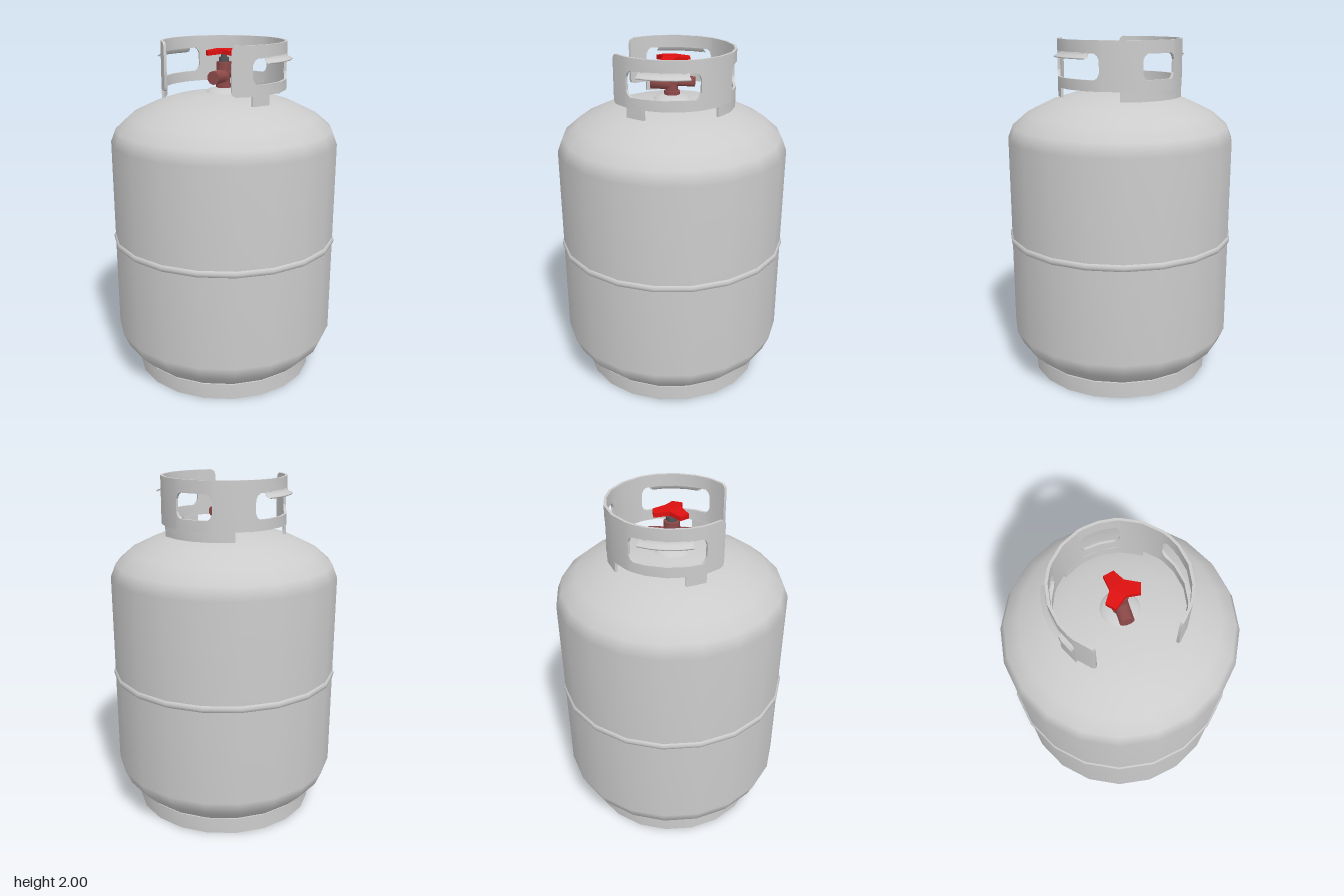
import * as THREE from 'three';
import { toCreasedNormals, mergeGeometries } from 'three/addons/utils/BufferGeometryUtils.js';

const SIDES = 20;
const grey = new THREE.MeshStandardMaterial({ color: 0xcccccc });
const greyThin = new THREE.MeshStandardMaterial({ color: 0xcccccc, side: THREE.DoubleSide });
const brass = new THREE.MeshStandardMaterial({ color: 0x8f4a4a });
const dark = new THREE.MeshStandardMaterial({ color: 0x555555 });
const red = new THREE.MeshStandardMaterial({ color: 0xdd1010 });

function add(parent, name, geometry, material) {
  const mesh = new THREE.Mesh(geometry, material);
  mesh.name = name;
  parent.add(mesh);
  return mesh;
}

function lathe(points, sides = SIDES, start = 0, length = Math.PI * 2) {
  return new THREE.LatheGeometry(points.map(p => new THREE.Vector2(...p)), sides, start, length);
}

// Curved plate: stations are [angle from the back, low y, high y]
function curvedPlate(stations, rIn = 0.345, rOut = 0.36) {
  const full = [];
  const step = Math.PI * 2 / SIDES;
  stations.forEach((s, i) => {
    full.push(s);
    const n = stations[i + 1];
    if (!n) return;
    for (let k = Math.floor(s[0] / step) + 1; k * step < n[0] - 0.001; k++) {
      const t = (k * step - s[0]) / (n[0] - s[0]);
      if (t > 0.001) full.push(s.map((v, j) => v + (n[j] - v) * t));
    }
  });
  const sections = full.map(([a, lo, hi]) =>
    [[rIn, lo], [rOut, lo], [rOut, hi], [rIn, hi]].map(([r, y]) => [r * Math.sin(a), y, -r * Math.cos(a)]));
  const pos = [];
  const quad = (a, b, c, d) => pos.push(...a, ...b, ...c, ...a, ...c, ...d);
  for (let i = 0; i < sections.length - 1; i++) {
    const s = sections[i], n = sections[i + 1];
    for (let k = 0; k < 4; k++) quad(s[k], s[(k + 1) % 4], n[(k + 1) % 4], n[k]);
  }
  quad(...[...sections[0]].reverse());
  quad(...sections[sections.length - 1]);
  const g = new THREE.BufferGeometry();
  g.setAttribute('position', new THREE.Float32BufferAttribute(pos, 3));
  return toCreasedNormals(g, 0.6);
}

function createCollar() {
  const LOW = 1.73, TOP = 2, SILL = 1.79, HEAD = 1.93;
  const backHalf = 0.31, sideStart = 0.98, sideEnd = 2.17, end = 2.5;
  const plates = [];

  // Bands above and below a window with rounded corners
  const windowBands = (a, b) => {
    const corner = [[0, 0.035], [0.03, 0.012], [0.08, 0]];
    const steps = [...corner.map(([d, h]) => [a + d, h]), ...[...corner].reverse().map(([d, h]) => [b - d, h])];
    plates.push(steps.map(([t, h]) => [t, LOW, SILL + h]));
    plates.push(steps.map(([t, h]) => [t, HEAD - h, TOP]));
  };
  const flip = stations => stations.map(([a, lo, hi]) => [-a, lo, hi]).reverse();
  const both = stations => plates.push(stations, flip(stations));

  windowBands(-backHalf, backHalf);
  windowBands(sideStart, sideEnd);
  windowBands(-sideEnd, -sideStart);
  both([[backHalf, LOW, TOP], [sideStart, LOW, TOP]]);
  both([[sideEnd, LOW, TOP], [end - 0.07, LOW, TOP], [end - 0.02, LOW + 0.008, TOP - 0.01], [end, LOW + 0.025, TOP - 0.03]]);
  // Feet
  plates.push([[-0.66, 1.675, LOW], [0.66, 1.675, LOW]]);
  both([[1.85, 1.675, LOW], [sideEnd, 1.675, LOW]]);
  return mergeGeometries(plates.map(p => curvedPlate(p)));
}

function createValve() {
  const valve = new THREE.Group();
  valve.name = 'valve';
  // Upright fittings: name, bottom, top, radius, sides, material
  [
    ['valveBase', 1.71, 1.755, 0.045, 12, brass],
    ['valveBody', 1.755, 1.845, 0.034, 12, brass],
    ['bonnetNut', 1.835, 1.88, 0.045, 8, brass],
    ['packingNut', 1.88, 1.905, 0.03, 8, dark],
    ['stem', 1.9, 1.935, 0.018, 8, dark],
  ].forEach(([name, lo, hi, r, sides, mat]) => {
    const g = toCreasedNormals(new THREE.CylinderGeometry(r, r, hi - lo, sides), 0.9);
    add(valve, name, g, mat).position.y = (lo + hi) / 2;
  });
  // Ports pointing to front and back
  [['outlet', 0.01, 0.12, 0.039], ['backPort', -0.13, 0.01, 0.029]].forEach(([name, z0, z1, r]) => {
    const g = toCreasedNormals(new THREE.CylinderGeometry(r, r, z1 - z0, 10).rotateX(Math.PI / 2), 0.9);
    add(valve, name, g, brass).position.set(0, r > 0.03 ? 1.8 : 1.81, (z0 + z1) / 2);
  });
  const relief = new THREE.CylinderGeometry(0.018, 0.018, 0.05, 8).rotateZ(Math.PI / 2);
  add(valve, 'reliefPort', toCreasedNormals(relief, 0.9), brass).position.set(0.025, 1.815, -0.025);

  // Three-lobed knob whose tips droop
  const outline = [];
  for (let i = 0; i < 3; i++) {
    for (const [deg, r] of [[50, 0.05], [90, 0.104], [122, 0.108]]) {
      const a = THREE.MathUtils.degToRad(deg + i * 120);
      outline.push(new THREE.Vector2(r * Math.cos(a), r * Math.sin(a)));
    }
  }
  const knob = new THREE.ExtrudeGeometry(new THREE.Shape(outline), { depth: 0.025, bevelEnabled: false });
  knob.rotateX(-Math.PI / 2);
  const p = knob.attributes.position;
  for (let i = 0; i < p.count; i++) {
    p.setY(i, p.getY(i) + 1.937 - 0.18 * Math.hypot(p.getX(i), p.getZ(i)));
  }
  knob.computeVertexNormals();
  add(valve, 'knob', knob, red);
  return valve;
}

export function createModel() {
  const model = new THREE.Group();
  model.name = 'gasCylinder';

  // Domed tank
  add(model, 'tank', lathe([
    [0, 0.02], [0.28, 0.03], [0.42, 0.05], [0.545, 0.105], [0.625, 0.185], [0.662, 0.27],
    [0.662, 1.43], [0.632, 1.505], [0.545, 1.58], [0.41, 1.645], [0.28, 1.685], [0.1, 1.71], [0, 1.712],
  ]), grey);

  // Weld bead around the middle
  add(model, 'weldBead', lathe([
    [0.658, 0.82], [0.668, 0.827], [0.672, 0.842], [0.668, 0.857], [0.658, 0.864],
  ]), grey);

  // Foot ring, open underneath
  const ring = lathe([[0.513, 0.095], [0.513, 0], [0.538, 0], [0.538, 0.095], [0.513, 0.095]]);
  add(model, 'footRing', toCreasedNormals(ring, 0.6), grey);

  // Boss under the valve
  add(model, 'boss', lathe([[0.11, 1.705], [0.09, 1.725], [0.05, 1.735], [0, 1.735]]), grey);

  // Guard collar and the flared grips over its side windows
  add(model, 'collar', createCollar(), grey);
  const lip = [[0.346, 1.932], [0.352, 1.91], [0.388, 1.9], [0.39, 1.908], [0.366, 1.918], [0.359, 1.935]];
  [['leftGrip', Math.PI / 2 - 0.37], ['rightGrip', -Math.PI / 2 - 0.4]].forEach(([name, start]) => {
    add(model, name, lathe(lip, 4, start, 0.77), greyThin);
  });

  model.add(createValve());
  return model;
}
